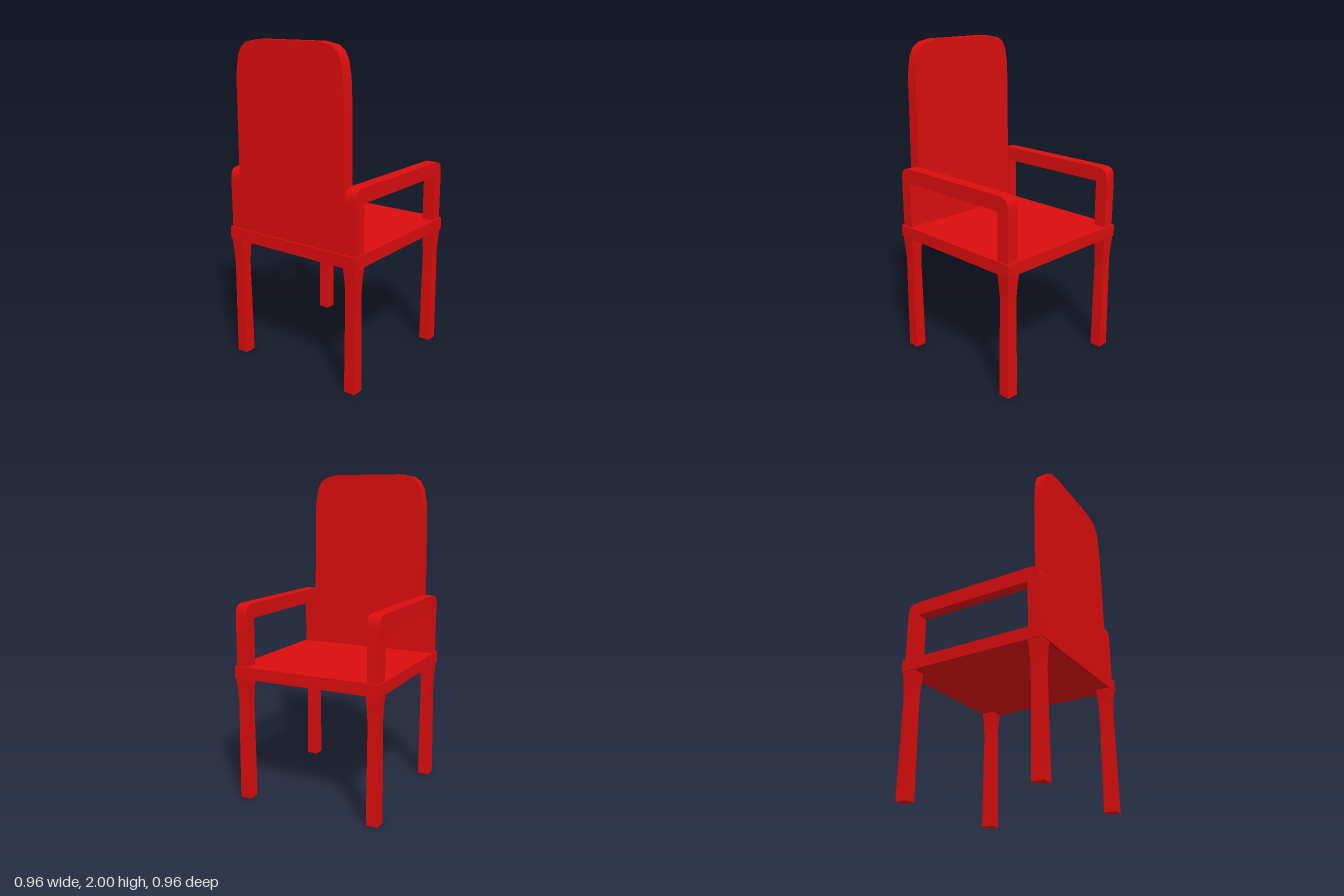
import * as THREE from 'three';
import { toCreasedNormals } from 'three/addons/utils/BufferGeometryUtils.js';

const red = new THREE.MeshStandardMaterial({ color: 0xd90d0d });

function part(name, geometry, parent) {
  const mesh = new THREE.Mesh(geometry, red);
  mesh.name = name;
  parent.add(mesh);
  return mesh;
}

function extrude(shape, depth) {
  const geometry = new THREE.ExtrudeGeometry(shape, { depth, bevelEnabled: false, curveSegments: 6 });
  return toCreasedNormals(geometry, 0.6);
}

// Square leg that flares where it meets the seat
function legGeometry() {
  const height = 0.785;
  const rings = [[0, 0.037], [0.62, 0.033], [0.7, 0.037], [0.76, 0.042], [height, 0.043]];
  const geometry = new THREE.BoxGeometry(1, 1, 1, 1, rings.length - 1, 1);
  const p = geometry.attributes.position;
  for (let i = 0; i < p.count; i++) {
    const [y, half] = rings[Math.round((p.getY(i) + 0.5) * (rings.length - 1))];
    p.setXYZ(i, p.getX(i) * 2 * half, y, p.getZ(i) * 2 * half);
  }
  return toCreasedNormals(geometry, 0.6);
}

// Backrest outline with soft top corners
function backShape() {
  const corner = [[0.395, 0.84], [0.395, 1.2], [0.39, 1.72], [0.385, 1.82], [0.37, 1.905],
    [0.345, 1.955], [0.305, 1.983], [0.22, 2]];
  const mirrored = corner.map(([x, y]) => [-x, y]).reverse();
  return new THREE.Shape([...corner, ...mirrored].map(([x, y]) => new THREE.Vector2(x, y)));
}

// Arm frame seen from the side: shape x runs along z
function armShape() {
  const s = new THREE.Shape();
  const outer = 0.468, inner = 0.388, base = 0.84, top = 1.23, under = 1.14;
  s.moveTo(-outer, base);
  s.lineTo(-outer, top - 0.1);
  s.bezierCurveTo(-outer, top - 0.02, -outer + 0.01, top, -outer + 0.075, top);
  s.lineTo(outer - 0.075, top);
  s.bezierCurveTo(outer - 0.01, top, outer, top - 0.02, outer, top - 0.1);
  s.lineTo(outer, base);
  s.lineTo(inner, base);
  s.lineTo(inner, under);
  s.lineTo(-inner, under);
  s.lineTo(-inner, base);
  s.closePath();
  return s;
}

export function createModel() {
  const chair = new THREE.Group();
  chair.name = 'armchair';

  // Seat
  part('seat', new THREE.BoxGeometry(0.96, 0.075, 0.96), chair).position.y = 0.8125;

  // Backrest
  part('backrest', extrude(backShape(), 0.075), chair).position.z = 0.395;

  // Legs and arms
  const leg = legGeometry();
  const arm = extrude(armShape(), 0.076);
  for (const [side, sx] of [['left', 1], ['right', -1]]) {
    for (const [end, sz] of [['Front', -1], ['Back', 1]]) {
      part(`${side}${end}Leg`, leg, chair).position.set(sx * 0.432, 0, sz * 0.432);
    }
    const frame = part(`${side}Arm`, arm, chair);
    frame.rotation.y = -Math.PI / 2;
    frame.position.x = sx * 0.432 + 0.038;
  }
  return chair;
}
